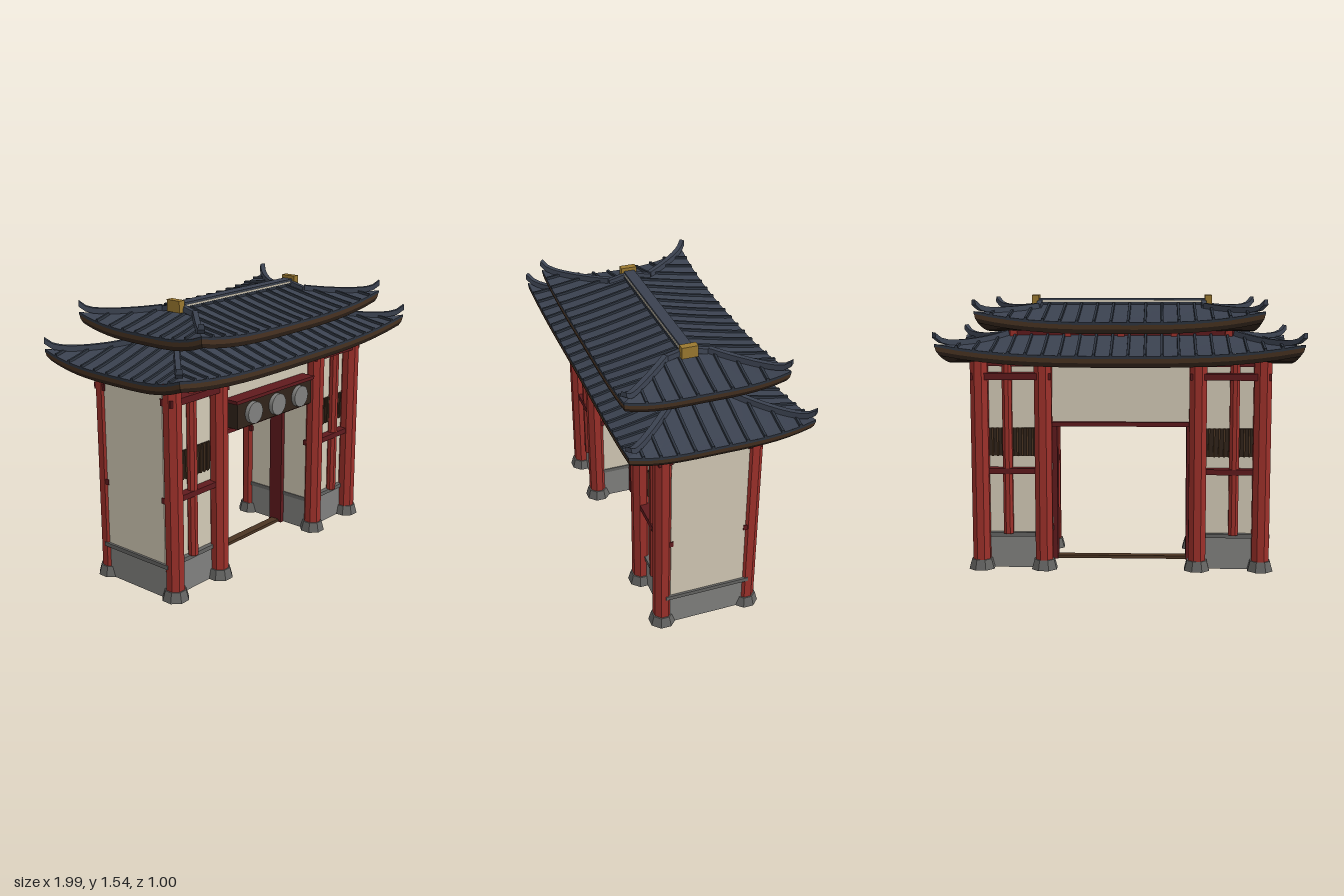
import * as THREE from 'three';
import { mergeGeometries } from 'three/addons/utils/BufferGeometryUtils.js';

const mat = (name, color, side = THREE.FrontSide) => {
  const m = new THREE.MeshStandardMaterial({ color, side });
  m.name = name;
  return m;
};
const lerp = THREE.MathUtils.lerp;
const V = (x, y, z) => new THREE.Vector3(x, y, z);

// Flat-shaded sheet through the points fn(u, v), with u and v from 0 to 1
function sheet(fn, nu, nv) {
  const p = [];
  for (let i = 0; i < nu; i++) for (let j = 0; j < nv; j++) {
    const [a, b, c, d] = [[i, j], [i + 1, j], [i + 1, j + 1], [i, j + 1]].map(([s, t]) => fn(s / nu, t / nv).toArray());
    p.push(...a, ...b, ...c, ...a, ...c, ...d);
  }
  const g = new THREE.BufferGeometry();
  g.setAttribute('position', new THREE.Float32BufferAttribute(p, 3));
  g.computeVertexNormals();
  return g;
}

// Upright bar of trapezoid section swept along a path
function sweep(pts, w, h) {
  const rings = pts.map((p, i) => {
    const d = pts[Math.min(i + 1, pts.length - 1)].clone().sub(pts[Math.max(i - 1, 0)]);
    const s = V(-d.z, 0, d.x).normalize().multiplyScalar(w / 2);
    return [[1, -0.3], [0.75, 1], [-0.75, 1], [-1, -0.3]].map(([k, y]) => p.clone().addScaledVector(s, k).add(V(0, y * h, 0)));
  });
  const n = pts.length - 1;
  const cap = (r, flip) => sheet((u, v) => r[(v < 0.5 ? [0, 3] : [1, 2])[(u > 0.5) !== flip ? 1 : 0]], 1, 1);
  return mergeGeometries([
    sheet((u, v) => rings[Math.round(v * n)][Math.round(u * 4) % 4], 4, n),
    cap(rings[0], false), cap(rings[n], true),
  ]);
}

export function createModel() {
  const root = new THREE.Group();
  root.name = 'gatehouse';
  const D = THREE.DoubleSide;
  const red = mat('red lacquer', 0x9c302a), darkRed = mat('dark red wood', 0x5f1a1d);
  const plaster = mat('plaster', 0xd2c9b5), stone = mat('stone', 0x80807e), darkStone = mat('dark stone', 0x646462);
  const tile = mat('roof tile', 0x3a414f, D), ribTile = mat('rib tile', 0x2d343f, D);
  const brown = mat('brown wood', 0x4a3422, D), dark = mat('dark wood', 0x30231a, D), gold = mat('gold', 0x9a7830);

  const add = (name, geo, m, parent = root) => {
    const mesh = new THREE.Mesh(geo, m);
    mesh.name = name;
    parent.add(mesh);
    return mesh;
  };
  // Box given by its limits
  const box = (name, x0, x1, y0, y1, z0, z1, m) => {
    const b = add(name, new THREE.BoxGeometry(Math.abs(x1 - x0), y1 - y0, Math.abs(z1 - z0)), m);
    b.position.set((x0 + x1) / 2, (y0 + y1) / 2, (z0 + z1) / 2);
    return b;
  };
  // Octagonal column with flats facing the axes
  const column = (name, x, z, y0, y1, rTop, rBottom, m) => {
    const g = new THREE.CylinderGeometry(rTop, rBottom, y1 - y0, 8).rotateY(Math.PI / 8).toNonIndexed();
    g.computeVertexNormals();
    add(name, g, m).position.set(x, (y0 + y1) / 2, z);
  };

  // Two side bays
  for (const s of [1, -1]) {
    box('stoneBase', s * 0.4, s * 0.82, 0, 0.18, -0.23, 0.23, stone);
    box('baseCap', s * 0.395, s * 0.838, 0.18, 0.203, -0.24, 0.24, darkStone);
    box('sideWall', s * 0.4, s * 0.825, 0.2, 1.2, -0.212, 0.212, plaster);
    box('gatePost', s * 0.373, s * 0.45, 0, 0.82, -0.045, 0.045, darkRed);
    for (const f of [1, -1]) {
      const z = f * 0.246;
      for (const x of [s * 0.785, s * 0.43]) {
        column('pillarBase', x, z, 0, 0.057, 0.06, 0.076, darkStone);
        column('pillar', x, z, 0.05, 1.2, 0.052, 0.052, red);
      }
      column('middlePost', s * 0.633, f * 0.236, 0.2, 1.2, 0.029, 0.029, red);
      box('topRail', s * 0.385, s * 0.83, 1.075, 1.112, f * 0.204, f * 0.282, darkRed);
      box('lowRail', s * 0.385, s * 0.83, 0.545, 0.576, f * 0.2, f * 0.264, darkRed);
      box('windowPanel', s * 0.47, s * 0.745, 0.64, 0.8, f * 0.208, f * 0.217, dark);
      for (let i = 0; i < 9; i++) {
        const x = s * (0.495 + i * 0.028);
        box('windowSlat', x - 0.005, x + 0.005, 0.64, 0.8, f * 0.21, f * 0.226, brown);
      }
    }
  }

  // Span over the gateway
  box('lintelPanel', -0.4, 0.4, 0.83, 1.2, -0.212, 0.212, plaster);
  box('lintelBeam', -0.4, 0.4, 0.812, 0.836, -0.24, 0.24, darkRed);
  for (const f of [1, -1]) box('headBeam', -0.83, 0.83, 1.148, 1.175, f * 0.2, f * 0.25, darkRed);
  box('threshold', -0.38, 0.38, 0, 0.018, -0.025, 0.025, brown);

  // Sign board with three plain discs
  box('signBoard', -0.33, 0.33, 0.84, 0.985, 0.2, 0.29, dark);
  box('signTrim', -0.345, 0.345, 0.983, 1.002, 0.2, 0.3, darkRed);
  for (const x of [-0.205, 0, 0.205]) {
    const d = add('signDisc', new THREE.CylinderGeometry(0.061, 0.061, 0.03, 24).rotateX(Math.PI / 2), stone);
    d.position.set(x, 0.912, 0.3);
  }

  // Curved hipped roof. Each face has half width c at the eave and w1 at the
  // hip top, depth mid/corner at the eave and d1 at the top.
  function roof(name, o) {
    const g = new THREE.Group();
    g.name = name;
    root.add(g);
    const tH = (o.cz - o.hz) / (o.cz - o.topZ);
    const front = { c: o.cx, w1: o.hx, m: o.mz, cd: o.cz, d1: o.topZ, hip: tH, k: 1 };
    const end = { c: o.cz, w1: o.hz, m: o.mx, cd: o.cx, d1: o.hx, hip: 1, k: tH };
    const faces = [front, end, front, end];
    const turn = (k, a, y, d) => [V(a, y, d), V(d, y, -a), V(-a, y, -d), V(-d, y, a)][k];
    const width = (f, t) => Math.max(f.w1, lerp(f.c, f.w1, t / f.hip));
    const point = (k, u, t) => {
      const f = faces[k], T = t * f.k;
      const y = o.ey + (o.ty - o.ey) * T ** 1.15 + o.lift * Math.abs(u) ** 3 * (1 - T) ** 2;
      return turn(k, u * width(f, t), y, lerp(f.m + (f.cd - f.m) * u * u, f.d1, t));
    };
    const cover = [], ribs = [], hips = [];
    for (let k = 0; k < 4; k++) {
      const f = faces[k];
      cover.push(sheet((u, v) => point(k, u * 2 - 1, v), 20, 11));
      // Tile ribs running down the slope, cut off at the hips
      for (let a = 0.046; a < f.c - 0.04; a += 0.091) for (const s of [1, -1]) {
        const tEnd = a <= f.w1 ? 1 : (f.c - a) / (f.c - f.w1) * f.hip;
        const pts = [];
        for (let i = 0; i <= 8; i++) {
          const t = tEnd * i / 8;
          pts.push(point(k, s * a / width(f, t), t));
        }
        ribs.push(sweep(pts, 0.017, 0.012));
      }
      // Hip ridge with its upturned tip
      const hip = [];
      for (let i = 0; i <= 12; i++) {
        const t = i / 12 * f.hip;
        hip.push(point(k, 1, t).add(V(0, 0.004 + 0.036 * Math.exp(-14 * i / 12), 0)));
      }
      hips.push(sweep(hip, 0.036, 0.022));
    }
    add('tileSlopes', mergeGeometries(cover), tile, g);
    add('tileRibs', mergeGeometries(ribs), ribTile, g);
    add('hipRidges', mergeGeometries(hips), tile, g);

    // Bands around the eave, each from one offset below the tiles to the next
    const edge = (v, scale, dy, flat) => {
      const q = Math.round(v * 64) % 64, p = point(Math.floor(q / 16), (q % 16) / 8 - 1, 0);
      return V(p.x * scale, flat ? o.ey + dy : p.y + dy, p.z * scale);
    };
    const band = (label, m, a, b) => add(label, sheet((u, v) => edge(u, ...(v < 0.5 ? b : a)), 64, 1), m, g);
    band('tileEdge', ribTile, [1, 0], [1, -0.014]);
    band('fascia', brown, [0.998, -0.014], [0.992, -0.038]);
    band('lowerFascia', dark, [0.992, -0.038], [0.975, -0.062]);
    band('soffit', dark, [0.975, -0.062], [0.4, -0.058, true]);
  }

  roof('lowerRoof', { cx: 0.982, cz: 0.487, mx: 0.955, mz: 0.464, hx: 0.635, hz: 0.14, topZ: 0.14, ey: 1.22, ty: 1.318, lift: 0.065 });
  roof('upperRoof', { cx: 0.775, cz: 0.44, mx: 0.745, mz: 0.425, hx: 0.47, hz: 0.12, topZ: 0, ey: 1.397, ty: 1.492, lift: 0.06 });

  // Neck between the two roofs
  box('neck', -0.6, 0.6, 1.22, 1.36, -0.13, 0.13, darkRed);
  box('neckBeam', -0.65, 0.65, 1.315, 1.342, -0.155, 0.155, darkRed);
  for (const x of [-0.6, -0.3, 0, 0.3, 0.6]) box('neckBlock', x - 0.02, x + 0.02, 1.3, 1.345, -0.165, 0.165, red);

  // Gables with their verges, the main ridge and its end caps
  for (const s of [1, -1]) {
    const tri = new THREE.Shape([[-0.12, 1.44], [0.12, 1.44], [0, 1.492]].map(([x, y]) => new THREE.Vector2(x, y)));
    const geo = new THREE.ExtrudeGeometry(tri, { depth: 0.01, bevelEnabled: false }).rotateY(Math.PI / 2);
    add('gable', geo, dark).position.x = s * 0.465 - 0.005;
    for (const f of [1, -1]) {
      add('verge', sweep([V(s * 0.465, 1.462, f * 0.125), V(s * 0.465, 1.478, f * 0.06), V(s * 0.465, 1.497, 0)], 0.036, 0.022), tile);
    }
    box('ridgeEnd', s * 0.47, s * 0.51, 1.473, 1.537, -0.045, 0.045, gold);
  }
  box('ridgeBody', -0.47, 0.47, 1.47, 1.507, -0.035, 0.035, plaster);
  box('ridgeCap', -0.47, 0.47, 1.507, 1.519, -0.031, 0.031, tile);
  box('ridgeFoot', -0.47, 0.47, 1.465, 1.498, -0.038, 0.038, ribTile);
  return root;
}
